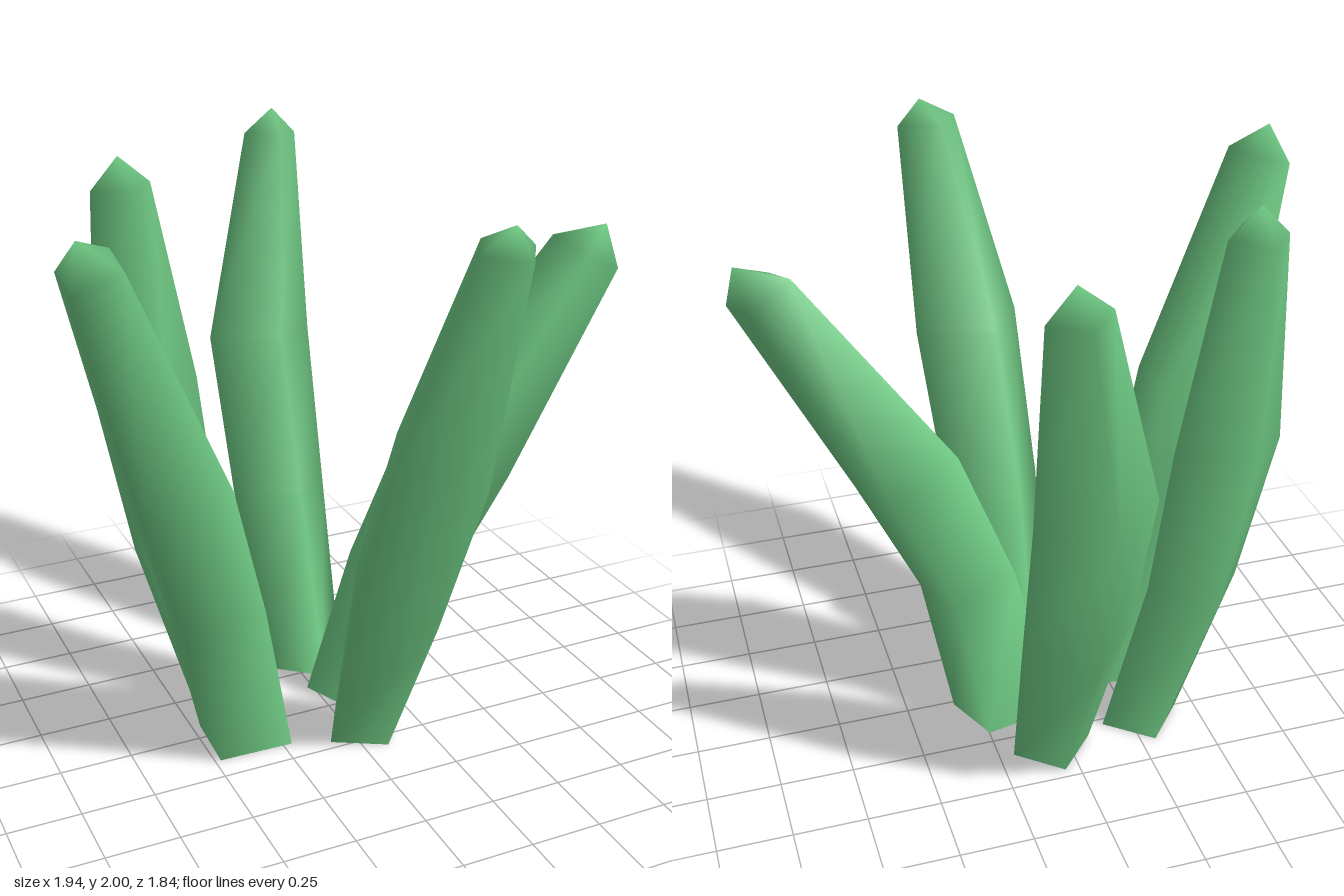
import * as THREE from 'three';

// Each stalk: corner angle in degrees, how far rings lean with the axis,
// rings [x, y, z, radiusX, radiusZ] from the ground up, and the tip point.
const STALKS = [
  { name: 'frontStalk', angle: -16, lean: 0.5, tip: [0.18, 1.98, 0.84],
    rings: [[0.045, 0, 0.175, 0.142, 0.142], [0.06, 0.64, 0.4, 0.19, 0.2],
      [0.083, 1.21, 0.635, 0.205, 0.195], [0.162, 1.905, 0.825, 0.112, 0.1]] },
  { name: 'backStalk', angle: -4, lean: 0.5, tip: [0.15, 2.0, -0.82],
    rings: [[0.06, 0, -0.33, 0.14, 0.135], [0.053, 0.64, -0.57, 0.185, 0.175],
      [0.045, 1.2, -0.715, 0.2, 0.175], [0.145, 1.91, -0.83, 0.1, 0.09]] },
  { name: 'leftStalk', angle: 28, lean: 0.85, tip: [0.94, 1.73, 0.17],
    rings: [[0.155, 0, -0.08, 0.2, 0.14], [0.26, 0.52, 0.02, 0.17, 0.175],
      [0.445, 0.95, 0.08, 0.18, 0.195], [0.87, 1.64, 0.16, 0.11, 0.115]] },
  { name: 'rightFrontStalk', angle: 47, lean: 0.9, tip: [-0.925, 1.94, 0.35],
    rings: [[-0.345, 0, 0.048, 0.185, 0.16], [-0.475, 0.59, 0.12, 0.19, 0.19],
      [-0.61, 1.07, 0.185, 0.2, 0.2], [-0.885, 1.84, 0.33, 0.115, 0.11]] },
  { name: 'rightBackStalk', angle: -5, lean: 0.5, tip: [-0.56, 1.98, -0.41],
    rings: [[-0.29, 0, -0.265, 0.142, 0.14], [-0.43, 0.62, -0.35, 0.165, 0.175],
      [-0.5, 1.17, -0.41, 0.19, 0.19], [-0.555, 1.88, -0.41, 0.105, 0.105]] },
];

// Four-sided tapering tube with a pointed top and a flat base
function stalkGeometry({ angle, lean, rings, tip }) {
  const positions = [], index = [];
  const start = THREE.MathUtils.degToRad(angle);
  rings.forEach(([x, y, z, rx, rz], i) => {
    // Rings above the ground tilt towards the local direction of growth
    const before = rings[Math.max(i - 1, 0)];
    const after = rings[Math.min(i + 1, rings.length - 1)];
    const tilt = i === 0 ? 0 : lean / (after[1] - before[1]);
    for (let k = 0; k < 4; k++) {
      const a = start + k * Math.PI / 2;
      const dx = Math.cos(a) * rx, dz = Math.sin(a) * rz;
      const dy = -tilt * (dx * (after[0] - before[0]) + dz * (after[2] - before[2]));
      positions.push(x + dx, y + dy, z + dz);
    }
  });
  const tipIndex = positions.length / 3;
  positions.push(...tip);
  // Separate base corners keep the bottom edge sharp
  positions.push(...positions.slice(0, 12));

  for (let k = 0; k < 4; k++) {
    const n = (k + 1) % 4;
    for (let i = 0; i < rings.length - 1; i++) {
      const a = i * 4 + k, b = i * 4 + n;
      index.push(a, a + 4, b, b, a + 4, b + 4);
    }
    const top = (rings.length - 1) * 4;
    index.push(top + k, tipIndex, top + n);
  }
  const base = tipIndex + 1;
  index.push(base, base + 1, base + 2, base, base + 2, base + 3);

  const geometry = new THREE.BufferGeometry();
  geometry.setAttribute('position', new THREE.Float32BufferAttribute(positions, 3));
  geometry.setIndex(index);
  geometry.computeVertexNormals();
  return geometry;
}

export function createModel() {
  const group = new THREE.Group();
  group.name = 'plantStalks';
  const green = new THREE.MeshStandardMaterial({ color: 0x6fca84 });
  green.name = 'leaf green';
  for (const stalk of STALKS) {
    const mesh = new THREE.Mesh(stalkGeometry(stalk), green);
    mesh.name = stalk.name;
    group.add(mesh);
  }
  return group;
}
